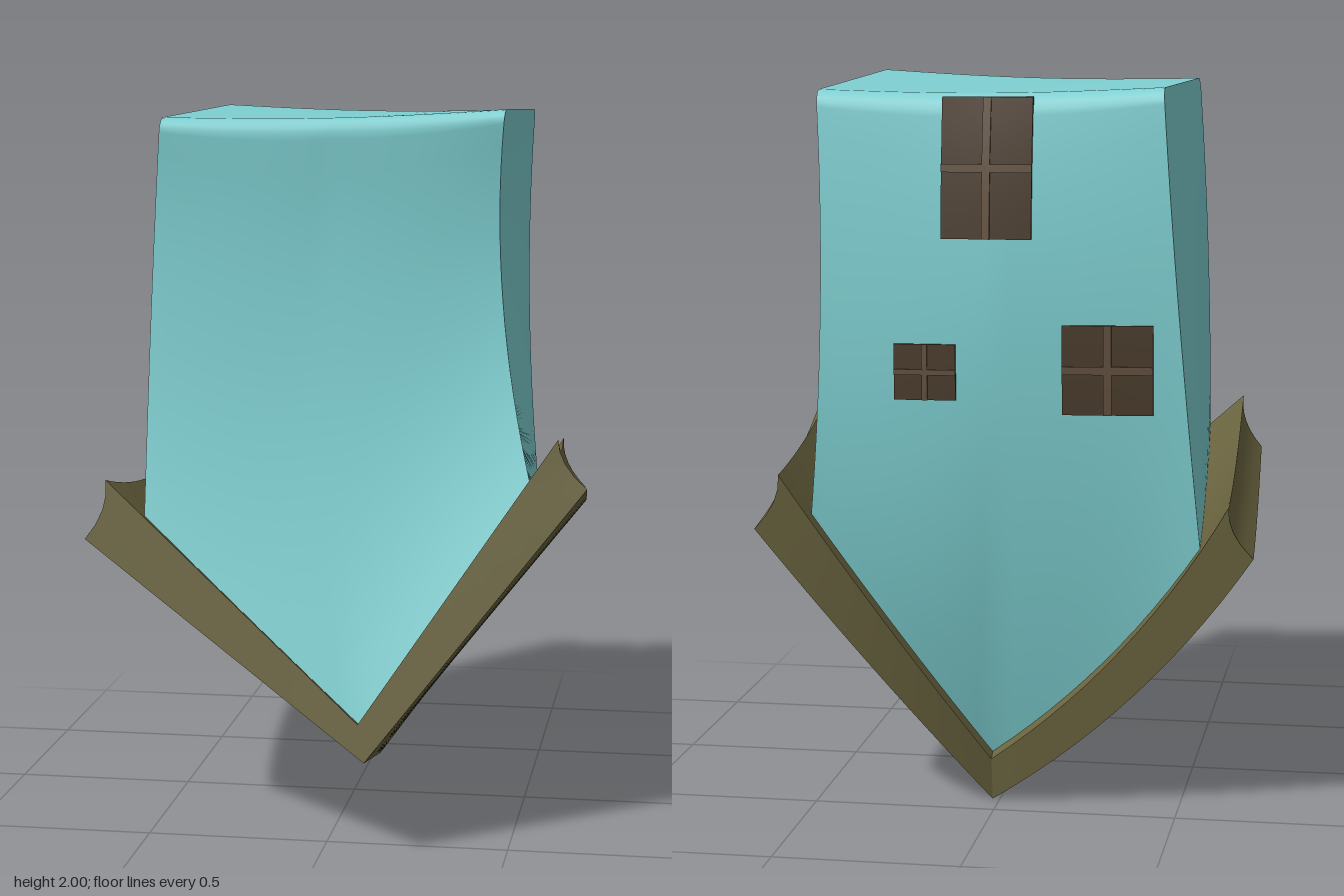
import * as THREE from 'three';
import { ParametricGeometry } from 'three/addons/geometries/ParametricGeometry.js';

const V = (x, y, z) => new THREE.Vector3(x, y, z);
const mix = (a, b, t) => a.clone().lerp(b, t);
const bilinear = (c, u, w) => mix(mix(c[0], c[1], u), mix(c[2], c[3], u), w);

const paint = {
  wall: new THREE.MeshStandardMaterial({ color: 0x7fd0d2 }),
  roof: new THREE.MeshStandardMaterial({ color: 0x6b6540 }),
  pane: new THREE.MeshStandardMaterial({ color: 0x4c3d2e }),
  bar: new THREE.MeshStandardMaterial({ color: 0x635240 }),
};

// Roof sections [left eave, ridge, right eave] at front and back, outer and inner skin
const roofOuter = [
  [V(-0.645, 0.85, 0.6), V(0.13, 0.28, 0.68), V(0.7, 1.0, 0.47)],
  [V(-0.71, 0.74, -0.57), V(0.02, 0, -0.4), V(0.62, 0.8, -0.67)],
];
const roofInner = [
  [V(-0.59, 1.01, 0.58), V(0.11, 0.38, 0.66), V(0.62, 1.13, 0.45)],
  [V(-0.645, 0.88, -0.59), V(0.02, 0.12, -0.42), V(0.55, 0.95, -0.68)],
];

// Point in the roof: s = -1..1 across, w = 0 front..1 back, k = 0 outer..1 inner
function roofPoint(s, w, k) {
  const a = Math.abs(s);
  const side = s < 0 ? 0 : 2;
  const skin = (r) => mix(mix(r[0][1], r[0][side], a), mix(r[1][1], r[1][side], a), w);
  const p = mix(skin(roofOuter), skin(roofInner), k);
  const bulge = 4 * a * (1 - a) * w;
  p.y -= 0.035 * a * 4 * w * (1 - w);
  if (s < 0) p.add(V(-0.035 * bulge, -0.04 * bulge, 0));
  else p.z -= 0.03 * bulge;
  p.x -= Math.sign(s) * a ** 20 * 0.08 * k * (1 - k); // hollow eave ends
  return p;
}

// Wall corners: front left, front right, back left, back right of the section
const topCorners = [V(-0.46, 1.975, 0.445), V(0.46, 2, 0.355), V(-0.46, 1.975, -0.55), V(0.46, 1.965, -0.575)];
const midCorners = [V(-0.49, 1.45, 0.445), V(0.455, 1.5, 0.33), V(-0.505, 1.4, -0.565), V(0.445, 1.4, -0.615)];

// Point in the body: u across, v upwards, w = 0 front..1 back
function wallPoint(u, v, w) {
  const arch = Math.sin(Math.PI * u);
  const low = roofPoint(0.85 * (2 * u - 1), 0.04 + 0.92 * w, 0.9);
  const mid = bilinear(midCorners, u, w).add(V(0, -0.25 * arch, 0.03 * arch * (1 - w)));
  const top = bilinear(topCorners, u, w).add(V(0, -0.012 * arch, 0));
  return V(0, 0, 0)
    .addScaledVector(low, (1 - v) * (1 - 2 * v))
    .addScaledVector(mid, 4 * v * (1 - v))
    .addScaledVector(top, v * (2 * v - 1));
}

function surface(name, material, f, nu, nv) {
  const geo = new ParametricGeometry((a, b, t) => t.copy(f(a, b)), nu, nv);
  geo.computeVertexNormals();
  const mesh = new THREE.Mesh(geo, material);
  mesh.name = name;
  return mesh;
}

function makeBody() {
  const body = new THREE.Group();
  body.name = 'houseBody';
  const R = 0.04;
  // Section path up the front, round the top edge, over and down the back
  const half = [];
  for (let i = 0; i <= 16; i++) half.push([(1 - R) * i / 16, 0]);
  for (let i = 1; i <= 5; i++) {
    const a = (i / 5) * Math.PI / 2;
    half.push([1 - R + R * Math.sin(a), R - R * Math.cos(a)]);
  }
  const across = [0.2, 0.35, 0.5, 0.65, 0.8].map((w) => [1, w]);
  const path = [...half, ...across, ...half.map(([v, w]) => [v, 1 - w]).reverse()];
  const last = path.length - 1;
  body.add(surface('frontTopAndBackWalls', paint.wall, (u, t) => {
    const [v, w] = path[Math.round(t * last)];
    return wallPoint(u, v, w);
  }, 24, last));

  // Side walls
  const rows = half.length - 1;
  for (const u of [0, 1]) {
    body.add(surface(u ? 'leftWall' : 'rightWall', paint.wall, (a, b) => {
      const [v, inset] = half[Math.round(b * rows)];
      const w = inset + (1 - 2 * inset) * a;
      return wallPoint(u, v, u ? w : 1 - w);
    }, 16, rows));
  }
  return body;
}

function makeRoof() {
  const roof = new THREE.Group();
  roof.name = 'roof';
  const add = (name, f, nu = 14, nv = 14) => roof.add(surface(name, paint.roof, f, nu, nv));
  for (const s0 of [-1, 0]) {
    const side = s0 ? 'right' : 'left';
    add(side + 'RoofOuter', (a, b) => roofPoint(s0 + a, 1 - b, 0));
    add(side + 'RoofInner', (a, b) => roofPoint(s0 + a, b, 1));
    add(side + 'RoofFrontEdge', (a, b) => roofPoint(s0 + a, 0, b), 14, 4);
    add(side + 'RoofBackEdge', (a, b) => roofPoint(s0 + 1 - a, 1, b), 14, 4);
    add(side + 'Eave', (a, b) => (s0 ? roofPoint(-1, 1 - a, b) : roofPoint(1, a, b)), 14, 6);
  }
  return roof;
}

// Depth of the back wall at a given x and y
function backZ(x, y) {
  let u = x + 0.5, v = 0.5, p;
  for (let i = 0; i < 25; i++) {
    p = wallPoint(u, v, 1);
    u += 0.9 * (x - p.x);
    v += 0.5 * (y - p.y);
  }
  return p.z;
}

// Plate bent to follow the back wall
function plate(name, material, x, y, w, h, depth) {
  const geo = new THREE.BoxGeometry(w, h, depth * 2, 4, 6, 1).translate(x, y, 0);
  const pos = geo.attributes.position;
  for (let i = 0; i < pos.count; i++) {
    pos.setZ(i, pos.getZ(i) + backZ(pos.getX(i), pos.getY(i)));
  }
  geo.computeVertexNormals();
  const mesh = new THREE.Mesh(geo, material);
  mesh.name = name;
  return mesh;
}

function makeWindow(name, x, y, w, h) {
  const g = new THREE.Group();
  g.name = name;
  g.add(
    plate('panes', paint.pane, x, y, w, h, 0.008),
    plate('uprightBar', paint.bar, x, y, w * 0.09, h, 0.013),
    plate('crossBar', paint.bar, x, y, w, w * 0.09, 0.013),
  );
  return g;
}

export function createModel() {
  const model = new THREE.Group();
  model.name = 'upsideDownHouse';
  model.add(
    makeBody(),
    makeRoof(),
    makeWindow('upperWindow', 0, 1.765, 0.24, 0.37),
    makeWindow('lowerWindow', -0.32, 1.235, 0.24, 0.24),
    makeWindow('smallWindow', 0.165, 1.225, 0.165, 0.15),
  );
  return model;
}
